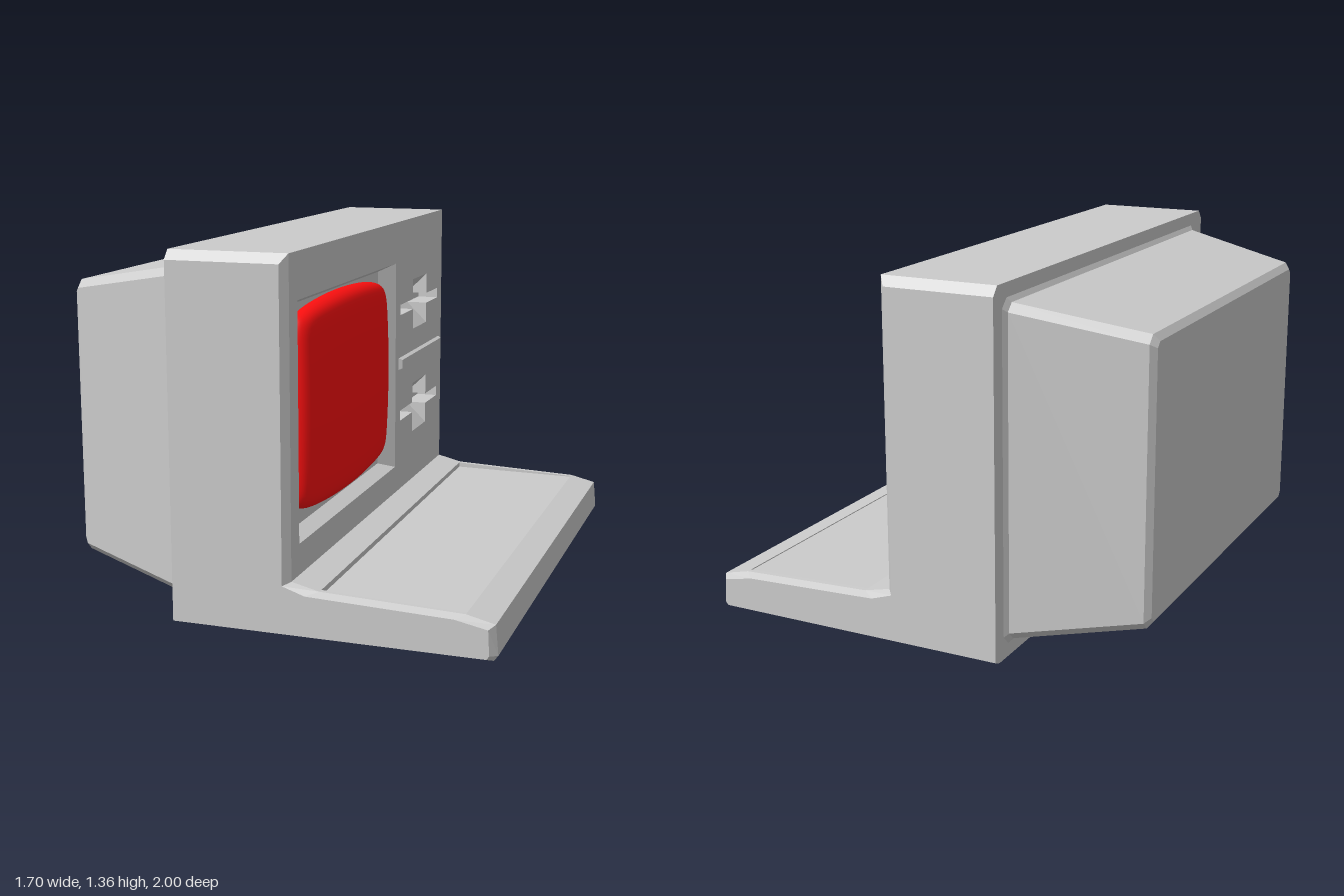
import * as THREE from 'three';

const grey = new THREE.MeshStandardMaterial({ color: 0xcccccc, flatShading: true, side: THREE.DoubleSide });
const red = new THREE.MeshStandardMaterial({ color: 0xff1010 });

// Flat-shaded mesh from a list of convex polygons, each a list of [x, y, z]
function polyMesh(name, polys) {
  const pos = [];
  for (const p of polys)
    for (let i = 1; i < p.length - 1; i++) pos.push(...p[0], ...p[i], ...p[i + 1]);
  const g = new THREE.BufferGeometry();
  g.setAttribute('position', new THREE.Float32BufferAttribute(pos, 3));
  g.computeVertexNormals();
  const m = new THREE.Mesh(g, grey);
  m.name = name;
  return m;
}

// Quads joining successive closed rings, with a cap on the last one
function loft(rings) {
  const polys = [rings.at(-1)];
  for (let k = 0; k < rings.length - 1; k++) {
    const a = rings[k], b = rings[k + 1], n = a.length;
    for (let i = 0; i < n; i++) {
      const j = (i + 1) % n;
      polys.push([a[i], a[j], b[j], b[i]]);
    }
  }
  return polys;
}

// Rectangle facing +x, zl is the left (larger z) edge
const rect = (x, zl, zr, y0, y1) => [[x, y0, zl], [x, y0, zr], [x, y1, zr], [x, y1, zl]];

// Chamfered rectangle facing -x
function octagon(x, z0, z1, y0, y1, c) {
  return [[z0 + c, y0], [z1 - c, y0], [z1, y0 + c], [z1, y1 - c],
    [z1 - c, y1], [z0 + c, y1], [z0, y1 - c], [z0, y0 + c]].map(([z, y]) => [x, y, z]);
}

const FRONT = 0.1;
const DRIVE_Y = [0.985, 0.525];
const SLOT = { zl: -0.328, zr: -0.902, h: 0.022 };
const NOTCH = { zl: -0.512, zr: -0.72, h: 0.109, x: 0.01 };

// Side profile of the case, counter-clockwise, and its inset copy for the ends
const outer = [[-0.35, 0], [0.835, 0], [0.85, 0.02], [0.84, 0.13], [0.735, 0.155],
  [0.205, 0.175], [FRONT, 0.2], [FRONT, 1.36], [-0.35, 1.36]];
const inset = [[-0.35, 0.012], [0.815, 0.012], [0.825, 0.025], [0.82, 0.118], [0.7, 0.142],
  [0.16, 0.162], [0.075, 0.19], [0.075, 1.325], [-0.35, 1.325]];
const DECK = 4, PANEL = 6, ZB = 0.97;

function createCase() {
  const group = new THREE.Group();
  group.name = 'case';
  const shell = [], bevel = [];
  outer.forEach((a, i) => {
    const j = (i + 1) % outer.length, b = outer[j];
    if (i !== PANEL) {
      const spans = i === DECK ? [[-ZB, -0.95], [0.95, ZB]] : [[-ZB, ZB]];
      for (const [z0, z1] of spans)
        shell.push([[...a, z0], [...b, z0], [...b, z1], [...a, z1]]);
    }
    bevel.push([[...a, ZB], [...b, ZB], [...inset[j], 1], [...inset[i], 1]]);
  });
  group.add(polyMesh('caseShell', shell));

  // Bevelled ends, mirrored
  const endShape = new THREE.Shape(inset.map(p => new THREE.Vector2(...p)));
  for (const s of [1, -1]) {
    const end = new THREE.Group();
    end.name = s > 0 ? 'leftEnd' : 'rightEnd';
    const cap = new THREE.Mesh(new THREE.ShapeGeometry(endShape), grey);
    cap.name = 'endFace';
    cap.position.z = 1;
    end.add(cap, polyMesh('endBevel', bevel));
    end.scale.z = s;
    group.add(end);
  }
  return group;
}

// Front panel with openings for the screen and both drives
function createPanel() {
  const shape = new THREE.Shape([[-ZB, 0.2], [ZB, 0.2], [ZB, 1.36], [-ZB, 1.36]].map(p => new THREE.Vector2(...p)));
  const cut = pts => shape.holes.push(new THREE.Path(pts.map(([z, y]) => new THREE.Vector2(-z, y))));
  cut([[0.89, 0.315], [0.89, 1.19], [-0.26, 1.19], [-0.26, 0.315]]);
  for (const y of DRIVE_Y) {
    const a = y - NOTCH.h, b = y - SLOT.h, c = y + SLOT.h, d = y + NOTCH.h;
    cut([[SLOT.zl, b], [SLOT.zl, c], [NOTCH.zl, c], [NOTCH.zl, d], [NOTCH.zr, d], [NOTCH.zr, c],
      [SLOT.zr, c], [SLOT.zr, b], [NOTCH.zr, b], [NOTCH.zr, a], [NOTCH.zl, a], [NOTCH.zl, b]]);
  }
  const panel = new THREE.Mesh(new THREE.ShapeGeometry(shape).rotateY(Math.PI / 2), grey);
  panel.name = 'frontPanel';
  panel.position.x = FRONT;
  return panel;
}

// Disk slot crossed by a V-shaped finger notch
function createDrive(yc) {
  const { zl, zr, h } = SLOT, n = NOTCH, polys = [];
  polys.push(rect(n.x, zl, zr, yc - h, yc + h));
  for (const s of [1, -1]) {
    const y = yc + s * h, yn = yc + s * n.h;
    // sloping ramp and its two cheeks
    polys.push([[FRONT, yn, n.zl], [FRONT, yn, n.zr], [n.x, y, n.zr], [n.x, y, n.zl]]);
    for (const z of [n.zl, n.zr]) polys.push([[FRONT, yn, z], [FRONT, y, z], [n.x, y, z]]);
    // slot top and bottom either side of the notch
    for (const [a, b] of [[zl, n.zl], [n.zr, zr]])
      polys.push([[FRONT, y, a], [FRONT, y, b], [n.x, y, b], [n.x, y, a]]);
  }
  for (const z of [zl, zr])
    polys.push([[FRONT, yc - h, z], [FRONT, yc + h, z], [n.x, yc + h, z], [n.x, yc - h, z]]);
  return polyMesh('diskDrive', polys);
}

// Shallow tray sunk into the deck
function createTray() {
  const [x1, y1] = outer[DECK], [x0, y0] = outer[DECK + 1], f0 = y0 - 0.02, f1 = y1 - 0.004, z = 0.95;
  return polyMesh('keyboardTray', [
    [[x0, f0, -z], [x0, f0, z], [x1, f1, z], [x1, f1, -z]],
    [[x0, f0, z], [x0, f0, -z], [x0, y0, -z], [x0, y0, z]],
    [[x1, f1, -z], [x1, f1, z], [x1, y1, z], [x1, y1, -z]],
    ...[-z, z].map(e => [[x0, f0, e], [x1, f1, e], [x1, y1, e], [x0, y0, e]]),
  ]);
}

// Bulging picture tube: a plane domed by a rule, with a steep rounded rim
function createScreen() {
  const g = new THREE.PlaneGeometry(2, 2, 40, 40), p = g.attributes.position;
  for (let i = 0; i < p.count; i++) {
    const u = Math.sin(p.getX(i) * Math.PI / 2), v = Math.sin(p.getY(i) * Math.PI / 2);
    const rim = Math.sqrt(Math.max(0, (1 - u ** 16) * (1 - v ** 16)));
    const x = 0.04 + (0.086 - 0.013 * (u * u + v * v)) * rim;
    const y = 0.7625 + v * (0.392 - 0.03 * u * u - 0.015 * u ** 12);
    const z = 0.3125 - u * (0.4975 - 0.008 * v * v - 0.015 * v ** 12);
    p.setXYZ(i, x, y, z);
  }
  g.computeVertexNormals();
  const m = new THREE.Mesh(g, red);
  m.name = 'screen';
  return m;
}

export function createModel() {
  const model = new THREE.Group();
  model.name = 'desktopComputer';
  model.add(createCase(), createPanel(), createTray(), createScreen());
  model.add(polyMesh('screenRecess', loft([
    rect(FRONT, 0.89, -0.26, 0.315, 1.19), rect(0.04, 0.82, -0.2, 0.34, 1.16)])));
  for (const y of DRIVE_Y) model.add(createDrive(y));
  // Raised trim bar between the drives
  model.add(polyMesh('trimBar', loft([
    rect(FRONT, -0.305, -0.925, 0.73, 0.78), rect(0.115, -0.312, -0.918, 0.737, 0.773)])));
  // Tapered rear housing with a small flared collar
  model.add(polyMesh('rearHousing', loft([
    octagon(-0.345, -0.945, 0.915, 0.045, 1.315, 0.035),
    octagon(-0.362, -0.918, 0.888, 0.065, 1.29, 0.03),
    octagon(-0.83, -0.81, 0.75, 0.152, 1.205, 0.03),
    octagon(-0.85, -0.785, 0.725, 0.177, 1.18, 0.02)])));
  return model;
}
